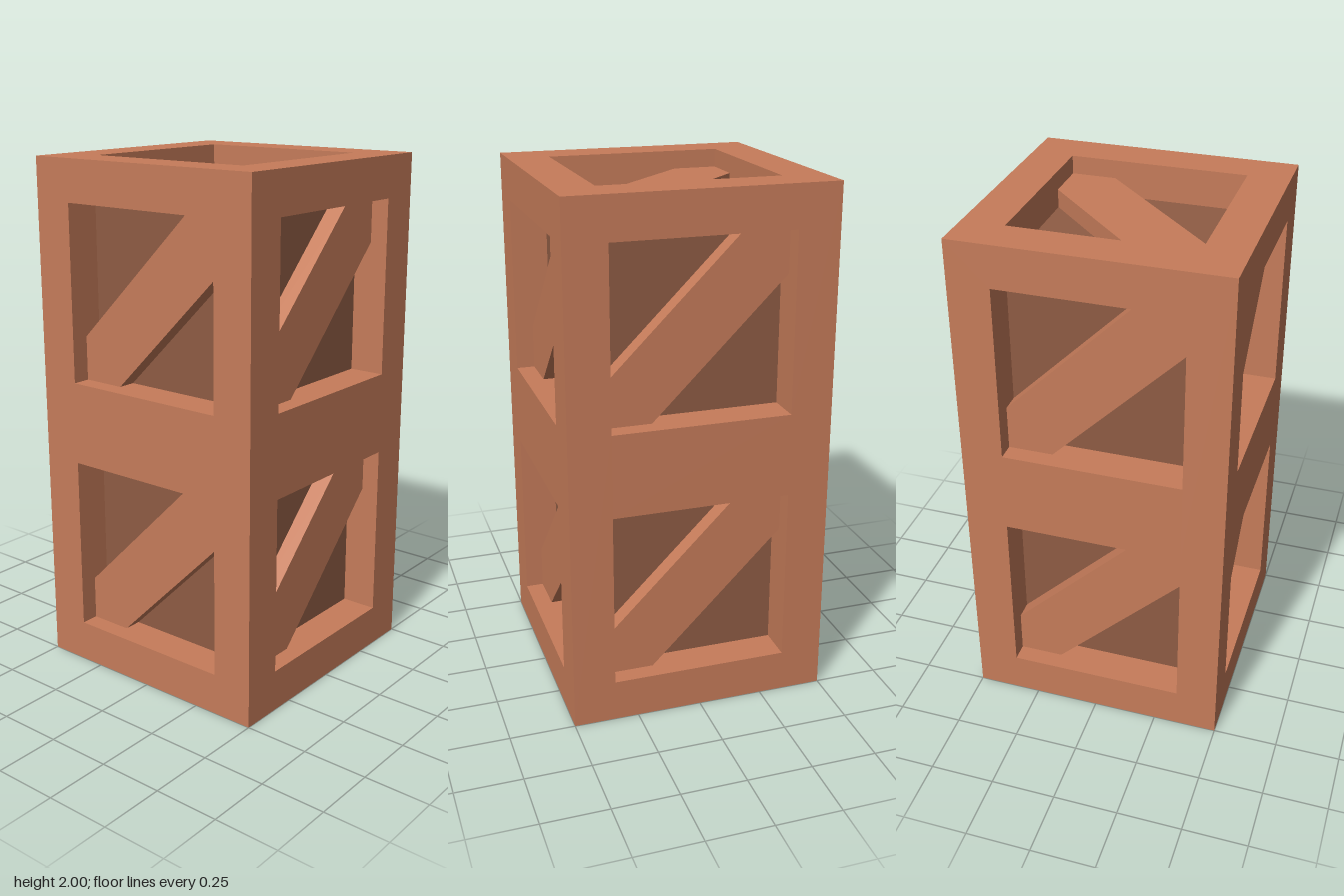
import * as THREE from 'three';

const HALF = 0.5;      // half width of one crate
const OPEN = 0.34;     // half width of a window opening
const DEPTH = 0.14;    // recess of the panels
const BRACE = 0.07;    // thickness of the diagonal boards

const polygon = (points) => new THREE.Shape(points.map(([x, y]) => new THREE.Vector2(x, y)));

// Square opening centred at height y
const opening = (y) => polygon([[-OPEN, y - OPEN], [-OPEN, y + OPEN], [OPEN, y + OPEN], [OPEN, y - OPEN]]);

// Flat frame with openings; its back outline is drawn in so neighbouring frames meet in a mitre
function frameGeometry(halfHeight, centres) {
  const shape = polygon([[-HALF, -halfHeight], [HALF, -halfHeight], [HALF, halfHeight], [-HALF, halfHeight]]);
  shape.holes = centres.map(opening);
  const geometry = new THREE.ExtrudeGeometry(shape, { depth: DEPTH, bevelEnabled: false });
  const p = geometry.attributes.position;
  for (let i = 0; i < p.count; i++) {
    if (p.getZ(i) > DEPTH / 2) continue;
    const x = p.getX(i), y = p.getY(i);
    if (Math.abs(x) > HALF - 0.001) p.setX(i, x - Math.sign(x) * DEPTH);
    if (Math.abs(y) > halfHeight - 0.001) p.setY(i, y - Math.sign(y) * DEPTH);
  }
  geometry.computeVertexNormals();
  return geometry;
}

// Diagonal board from lower left to upper right, cut to fit the opening
function braceGeometry() {
  const a = OPEN, b = OPEN / 2;
  const shape = polygon([[-a, -a], [-b, -a], [a, b], [a, a], [b, a], [-a, -b]]);
  return new THREE.ExtrudeGeometry(shape, { depth: BRACE, bevelEnabled: false });
}

export function createModel() {
  const wood = new THREE.MeshStandardMaterial({ color: 0xc67c5a });
  wood.name = 'light wood';
  const darkWood = new THREE.MeshStandardMaterial({ color: 0x8f5c44 });
  darkWood.name = 'dark wood';

  const model = new THREE.Group();
  model.name = 'stackedCrates';
  const brace = braceGeometry();

  // One face: frame plus a brace in every opening
  function face(name, frame, centres, braceTurn = 0) {
    const group = new THREE.Group();
    group.name = name;
    const frameMesh = new THREE.Mesh(frame, wood);
    frameMesh.name = 'frame';
    group.add(frameMesh);
    for (const y of centres) {
      const board = new THREE.Mesh(brace, wood);
      board.name = 'diagonalBrace';
      board.position.y = y;
      board.rotation.z = braceTurn;
      group.add(board);
    }
    model.add(group);
    return group;
  }

  // Four tall sides
  const sideCentres = [-0.5, 0.5];
  const sideFrame = frameGeometry(1, sideCentres);
  ['frontSide', 'leftSide', 'backSide', 'rightSide'].forEach((name, i) => {
    const side = face(name, sideFrame, sideCentres);
    const angle = i * Math.PI / 2;
    side.rotation.y = angle;
    side.position.set(Math.sin(angle) * (HALF - DEPTH), 1, Math.cos(angle) * (HALF - DEPTH));
  });

  // Lid and base; the base brace follows the same diagonal as the lid
  const endFrame = frameGeometry(HALF, [0]);
  const lid = face('lid', endFrame, [0]);
  lid.rotation.x = -Math.PI / 2;
  lid.position.y = 2 - DEPTH;
  const base = face('base', endFrame, [0], Math.PI / 2);
  base.rotation.x = Math.PI / 2;
  base.position.y = DEPTH;

  // Recessed panels, one block behind all frames
  const width = 2 * (HALF - DEPTH);
  const panels = new THREE.Mesh(new THREE.BoxGeometry(width, 2 - 2 * DEPTH, width), darkWood);
  panels.name = 'recessedPanels';
  panels.position.y = 1;
  model.add(panels);

  return model;
}
